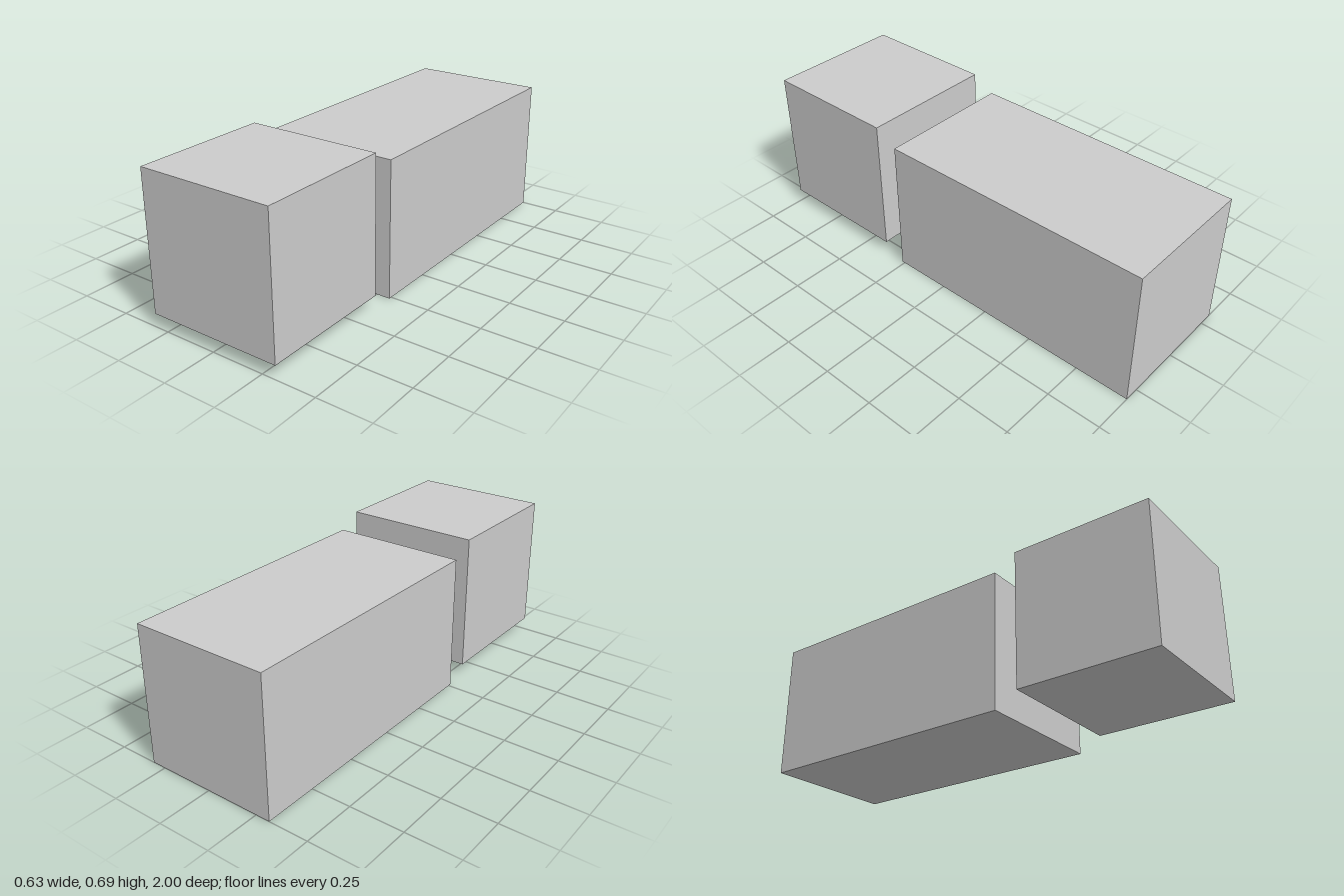
import * as THREE from 'three';

const SIZE = 0.632; // shared width and height of both blocks

export function createModel() {
  const group = new THREE.Group();
  const material = new THREE.MeshStandardMaterial({ color: 0xcccccc });

  // Adds a block from its bottom height and its back and front z
  const addBlock = (name, bottom, back, front) => {
    const block = new THREE.Mesh(new THREE.BoxGeometry(SIZE, SIZE, front - back), material);
    block.name = name;
    block.position.set(0, bottom + SIZE / 2, (back + front) / 2);
    group.add(block);
  };

  // Long block resting on the ground
  addBlock('longBlock', 0, -1, 0.264);
  // Cube in front, separated by a gap and slightly raised
  addBlock('frontCube', 0.0615, 0.368, 1);

  return group;
}
